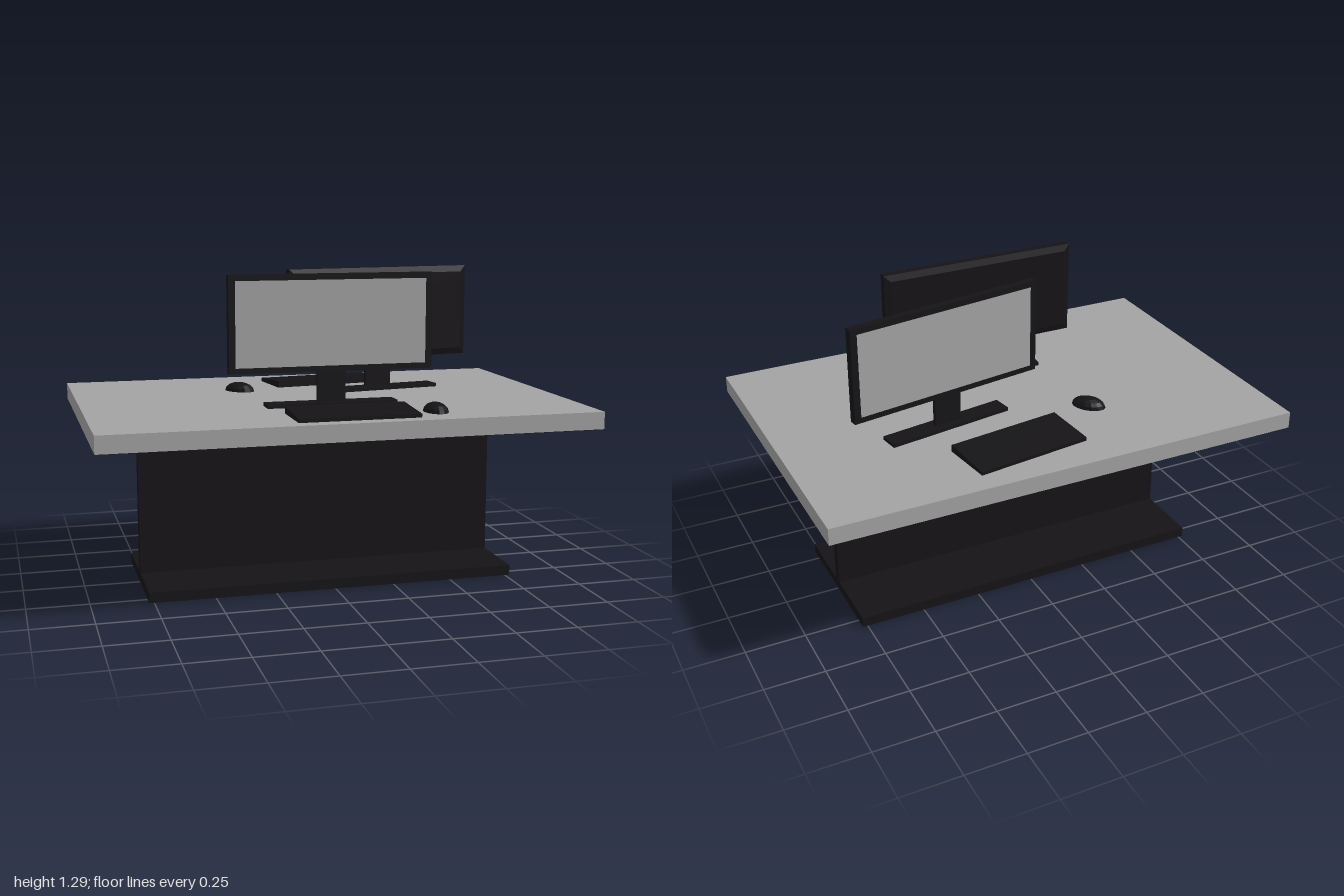
import * as THREE from 'three';

const grey = new THREE.MeshStandardMaterial({ color: 0xa2a2a2 });
const dark = new THREE.MeshStandardMaterial({ color: 0x151316 });
const darkFlat = new THREE.MeshStandardMaterial({ color: 0x151316, flatShading: true });
const DESK_Y = 0.757;

function add(parent, name, geometry, material, x = 0, y = 0, z = 0) {
  const mesh = new THREE.Mesh(geometry, material);
  mesh.name = name;
  mesh.position.set(x, y, z);
  parent.add(mesh);
  return mesh;
}

// Box given by its size and the height of its underside
function box(parent, name, w, h, d, material, x = 0, y = 0, z = 0) {
  return add(parent, name, new THREE.BoxGeometry(w, h, d), material, x, y + h / 2, z);
}

// Screen housing: a box whose rear face is drawn in to a bevel
function housingGeometry(w, h, d, inset, bevel) {
  const g = new THREE.BoxGeometry(w, h, d, 1, 1, 2);
  const p = g.attributes.position;
  for (let i = 0; i < p.count; i++) {
    const z = p.getZ(i);
    if (Math.abs(z) < 1e-6) p.setZ(i, -d / 2 + bevel);
    else if (z < 0) {
      p.setX(i, p.getX(i) - Math.sign(p.getX(i)) * inset);
      p.setY(i, p.getY(i) - Math.sign(p.getY(i)) * inset);
    }
  }
  return g;
}

// Monitor facing +z, standing on the desk
function monitor() {
  const g = new THREE.Group();
  g.name = 'monitor';
  box(g, 'monitorFoot', 0.545, 0.015, 0.082, dark);
  box(g, 'monitorNeck', 0.12, 0.15, 0.016, dark, 0, 0.012, 0.002);
  add(g, 'monitorHousing', housingGeometry(0.85, 0.394, 0.042, 0.027, 0.008), darkFlat, 0, 0.337, -0.002);
  add(g, 'screen', new THREE.PlaneGeometry(0.795, 0.347), grey, 0, 0.337, 0.0198);
  return g;
}

// Keyboard: a wedge rising towards the back edge
function keyboard() {
  const g = new THREE.BoxGeometry(0.49, 0.03, 0.22);
  const p = g.attributes.position;
  for (let i = 0; i < p.count; i++) {
    p.setY(i, p.getY(i) < 0 ? 0 : p.getZ(i) > 0 ? 0.015 : 0.029);
  }
  const mesh = new THREE.Mesh(g, darkFlat);
  mesh.name = 'keyboard';
  return mesh;
}

// Mouse: a low-poly half ellipsoid with a closed underside
function mouse() {
  const g = new THREE.Group();
  g.name = 'mouse';
  const dome = new THREE.SphereGeometry(1, 14, 4, 0, Math.PI * 2, 0, Math.PI / 2);
  add(g, 'mouseShell', dome.scale(0.048, 0.038, 0.073), darkFlat);
  const base = new THREE.CircleGeometry(1, 14).rotateX(Math.PI / 2);
  add(g, 'mouseBase', base.scale(0.048, 1, 0.073), dark);
  return g;
}

function place(parent, part, x, z, turn) {
  part.position.set(x, DESK_Y, z);
  part.rotation.y = turn;
  parent.add(part);
}

export function createModel() {
  const model = new THREE.Group();
  model.name = 'doubleDesk';

  // Desk: pale top and edges over a dark underside
  box(model, 'deskTop', 2, 0.07, 1.334, grey, 0, DESK_Y - 0.07);
  box(model, 'deskUnderside', 1.998, 0.002, 1.332, dark, 0, DESK_Y - 0.0715);
  box(model, 'deskPanel', 1.54, 0.628, 0.042, dark, 0, 0.038);
  box(model, 'deskFoot', 1.54, 0.043, 0.6, dark);

  // Front workplace
  place(model, monitor(), -0.001, 0.221, 0);
  place(model, keyboard(), 0.013, 0.497, 0);
  place(model, mouse(), 0.357, 0.487, 0);

  // Rear workplace, facing the other way and slightly turned
  place(model, monitor(), 0.312, -0.147, Math.PI + 0.158);
  place(model, keyboard(), 0.126, -0.43, Math.PI + 0.132);
  place(model, mouse(), -0.286, -0.248, Math.PI + 0.66);

  return model;
}
